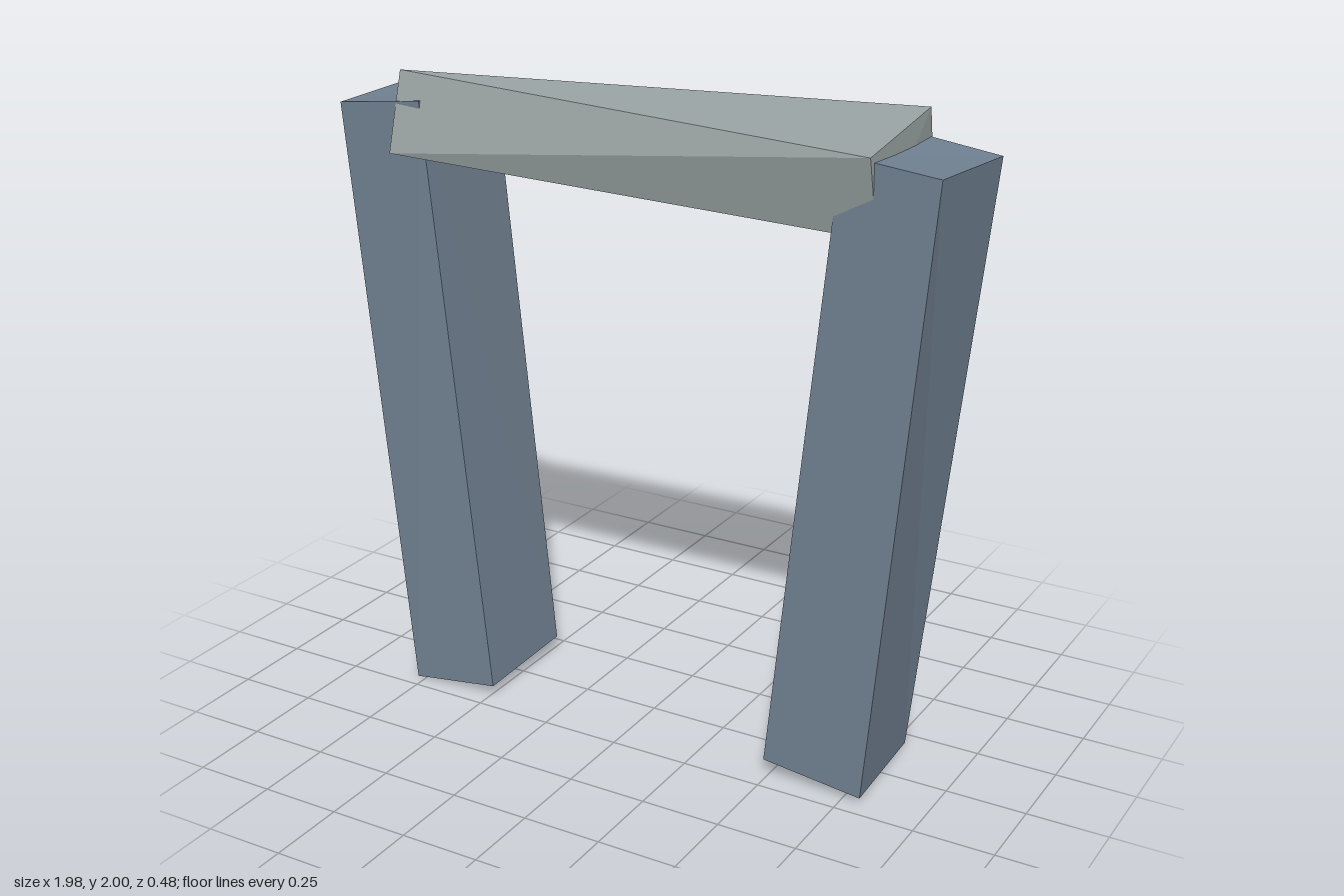
import * as THREE from 'three';

// Rough-hewn block spanning two four-cornered ends, each listed counter-clockwise
// as seen from the second end; flip chooses the crease direction of each side.
function block(name, a, b, flip, material) {
  const points = [];
  const quad = (p, q, r, s, flipped) =>
    points.push(...(flipped ? [p, q, s, q, r, s] : [p, q, r, p, r, s]));
  for (let i = 0; i < 4; i++) {
    const j = (i + 1) % 4;
    quad(a[i], a[j], b[j], b[i], flip[i]);
  }
  quad(a[3], a[2], a[1], a[0], false);
  quad(b[0], b[1], b[2], b[3], false);
  const geometry = new THREE.BufferGeometry();
  geometry.setAttribute('position', new THREE.Float32BufferAttribute(points.flat(), 3));
  geometry.computeVertexNormals();
  const mesh = new THREE.Mesh(geometry, material);
  mesh.name = name;
  return mesh;
}

export function createModel() {
  const group = new THREE.Group();
  group.name = 'stoneGate';
  const pillarStone = new THREE.MeshStandardMaterial({ color: 0x708090, flatShading: true });
  const lintelStone = new THREE.MeshStandardMaterial({ color: 0x969f9f, flatShading: true });

  // Leaning, slightly twisted pillars: the second is the first turned half round
  const foot = [[-0.78, 0, 0.2], [-0.49, 0.035, 0.19], [-0.485, 0.05, -0.185], [-0.805, 0.015, -0.19]];
  const head = [[-0.99, 1.885, 0.18], [-0.69, 1.922, 0.192], [-0.67, 1.925, -0.175], [-0.97, 1.9, -0.197]];
  for (const [name, turn] of [['rightPillar', 0], ['leftPillar', Math.PI]]) {
    const pillar = block(name, foot, head, [false, true, false, true], pillarStone);
    pillar.rotation.y = turn;
    group.add(pillar);
  }

  // Skewed lintel, wider at the bottom, resting over both pillar heads
  const rightEnd = [[-0.77, 1.765, 0.238], [-0.75, 1.75, -0.24], [-0.835, 1.92, -0.145], [-0.78, 2, 0.155]];
  const leftEnd = [[0.775, 1.7, 0.16], [0.765, 1.77, -0.245], [0.78, 2, -0.165], [0.77, 1.935, 0.207]];
  group.add(block('lintel', rightEnd, leftEnd, [false, false, true, true], lintelStone));
  return group;
}
